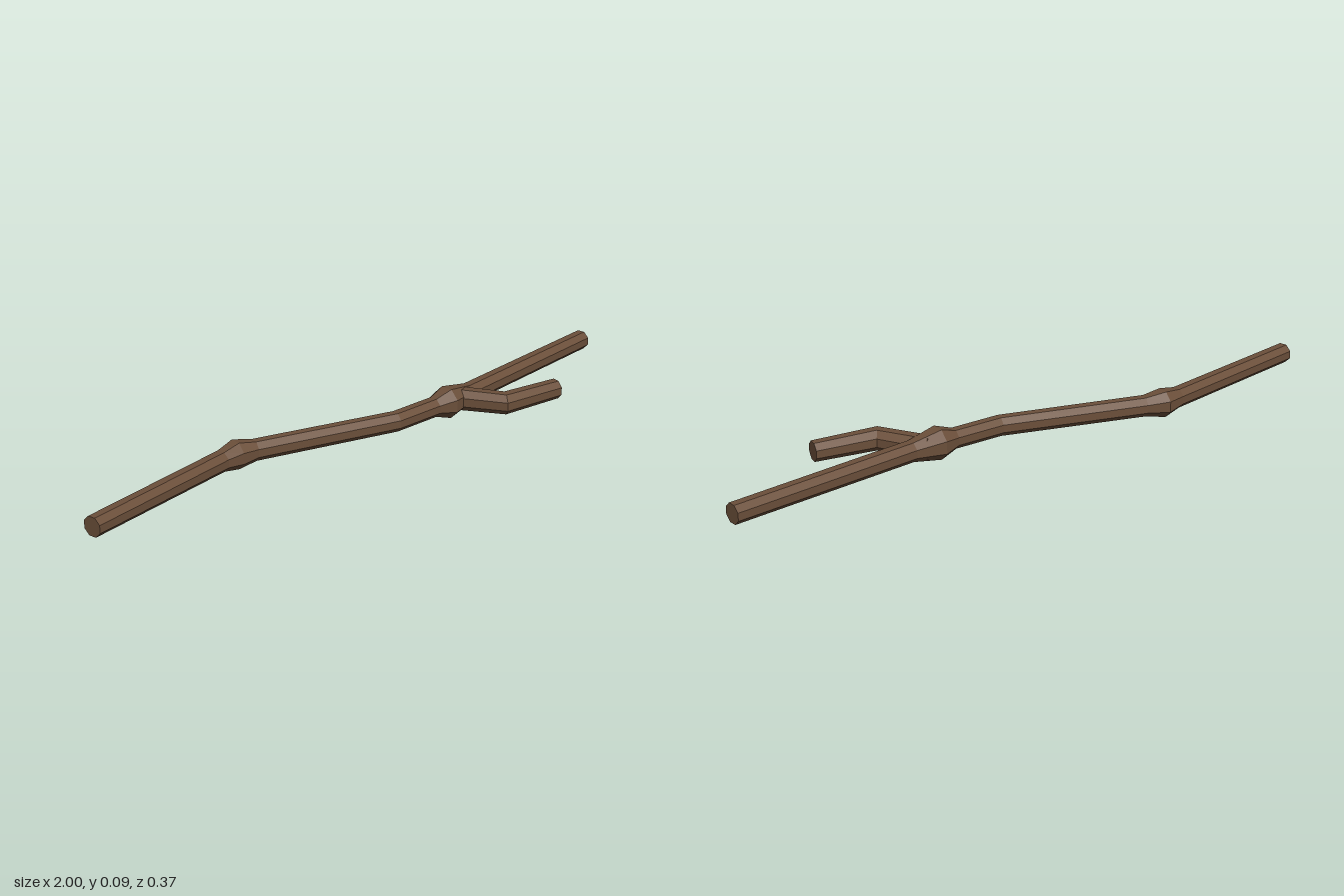
import * as THREE from 'three';

const SIDES = 8;
const CENTRE_Y = 0.05;

// Octagonal limb swept along [x, z, half-thickness] stations, with mitred bends and flat caps
function limb(name, stations, material) {
  const pos = [], index = [];
  const pts = stations.map(([x, z]) => new THREE.Vector2(x, z));
  const last = pts.length - 1;
  const dir = (i) => pts[i + 1].clone().sub(pts[i]).normalize();

  stations.forEach(([x, z, r], i) => {
    const before = dir(Math.max(i - 1, 0));
    const after = dir(Math.min(i, last - 1));
    const along = before.clone().add(after).normalize();
    const mitre = 1 / along.dot(after);
    const R = r / Math.cos(Math.PI / SIDES);
    for (let k = 0; k < SIDES; k++) {
      const a = ((k + 0.5) / SIDES) * Math.PI * 2;
      const side = Math.cos(a) * R * mitre;
      pos.push(x - along.y * side, CENTRE_Y + Math.sin(a) * R, z + along.x * side);
    }
  });

  // Sides
  for (let i = 0; i < last; i++) {
    for (let k = 0; k < SIDES; k++) {
      const a = i * SIDES + k, b = i * SIDES + (k + 1) % SIDES;
      index.push(a, b, a + SIDES, b, b + SIDES, a + SIDES);
    }
  }
  // End caps
  const end = last * SIDES;
  for (let k = 1; k < SIDES - 1; k++) {
    index.push(0, k + 1, k, end, end + k, end + k + 1);
  }

  const indexed = new THREE.BufferGeometry();
  indexed.setAttribute('position', new THREE.Float32BufferAttribute(pos, 3));
  indexed.setIndex(index);

  // Make sure the faces point outwards: signed volume must be positive
  const p = (i) => new THREE.Vector3().fromArray(pos, i * 3);
  let volume = 0;
  for (let i = 0; i < index.length; i += 3) {
    volume += p(index[i]).dot(p(index[i + 1]).cross(p(index[i + 2])));
  }
  if (volume < 0) indexed.setIndex(index.reverse());

  const geometry = indexed.toNonIndexed();
  geometry.computeVertexNormals();
  const mesh = new THREE.Mesh(geometry, material);
  mesh.name = name;
  return mesh;
}

export function createModel() {
  const bark = new THREE.MeshStandardMaterial({ color: 0x6b4f3a });
  bark.name = 'bark brown';

  const group = new THREE.Group();
  group.name = 'stick';

  // Main stem with two swollen knots
  group.add(limb('stem', [
    [-0.995, -0.045, 0.029],
    [-0.48, -0.136, 0.03],
    [-0.42, -0.144, 0.041],
    [-0.36, -0.131, 0.03],
    [0.08, -0.002, 0.029],
    [0.24, -0.002, 0.029],
    [0.295, -0.002, 0.047],
    [0.39, -0.008, 0.03],
    [0.995, -0.075, 0.029],
  ], bark));

  // Short forked twig growing from the second knot
  group.add(limb('twig', [
    [0.333, -0.02, 0.034],
    [0.422, 0.125, 0.032],
    [0.62, 0.153, 0.029],
  ], bark));

  return group;
}
